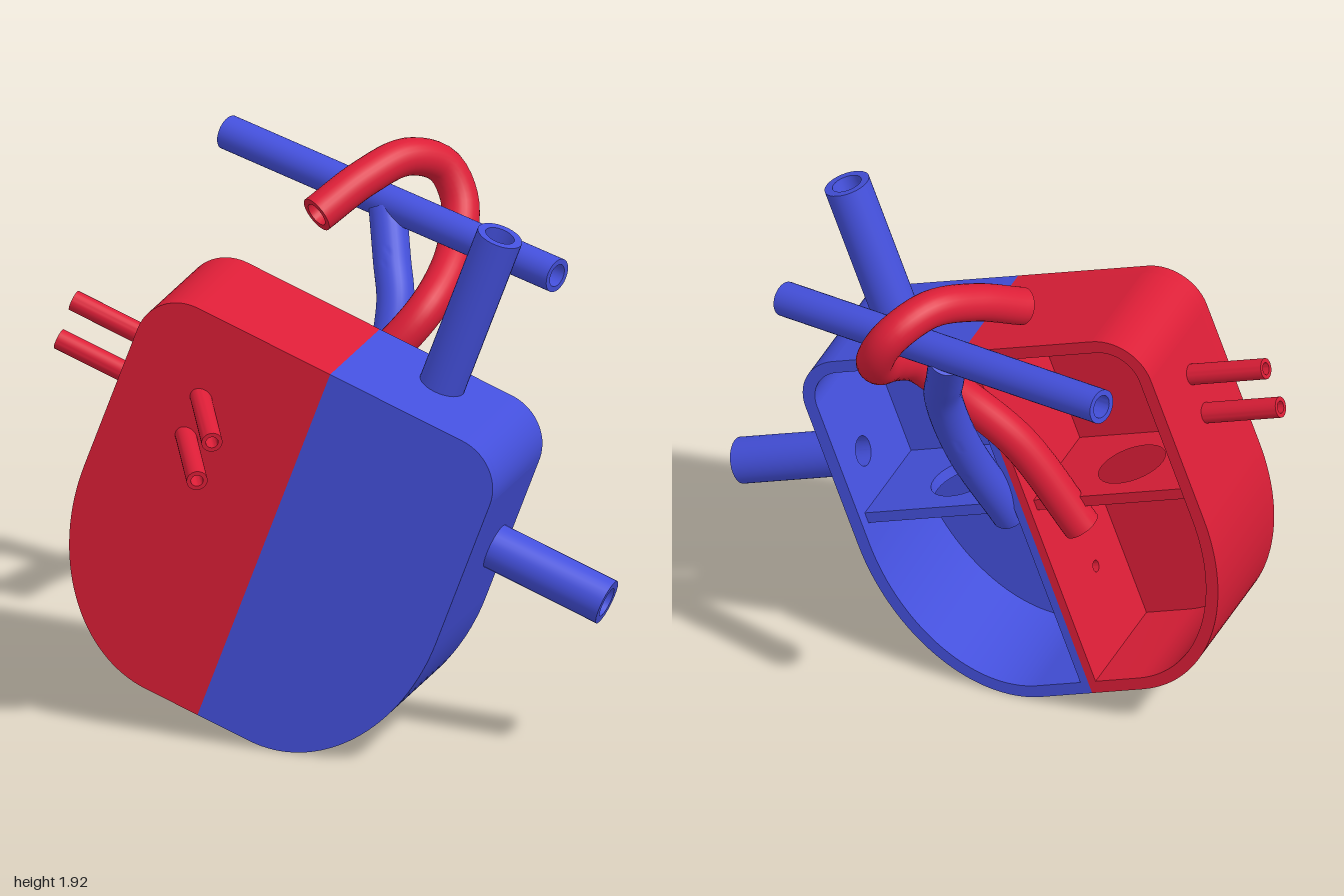
import * as THREE from 'three';
import { toCreasedNormals } from 'three/addons/utils/BufferGeometryUtils.js';

const RED = new THREE.MeshStandardMaterial({ color: 0xdc1e37 });
const BLUE = new THREE.MeshStandardMaterial({ color: 0x4450dc });

// Half-body sizes, in a frame whose v axis is the dividing wall
const W = 0.68, H = 1.376, T = 0.045, R = 0.17;
const LOW_X = 0.2, LOW_Y = 0.65;          // centre of the elliptical lower corner
const BACK = -0.04, FRONT = 0.44, INNER = FRONT - T;

const V2 = (x, y) => new THREE.Vector2(x, y);
const V3 = (p) => new THREE.Vector3(...p);

function add(parent, name, geometry, material) {
  const mesh = new THREE.Mesh(toCreasedNormals(geometry, 0.6), material);
  mesh.name = name;
  parent.add(mesh);
  return mesh;
}

function arc(cx, cy, rx, ry, a0, a1, n = 20) {
  return Array.from({ length: n + 1 }, (_, i) => {
    const a = a0 + (a1 - a0) * i / n;
    return V2(cx + rx * Math.cos(a), cy + ry * Math.sin(a));
  });
}

// Flat plate from an outline, with round holes given as [x, y, radius]
function plate(points, depth, holes = []) {
  const shape = new THREE.Shape(points);
  for (const [x, y, r] of holes) {
    const hole = new THREE.Path();
    hole.absarc(x, y, r, 0, Math.PI * 2, true);
    shape.holes.push(hole);
  }
  return new THREE.ExtrudeGeometry(shape, { depth, bevelEnabled: false, curveSegments: 16 });
}

const rect = (x0, y0, x1, y1) => [V2(x0, y0), V2(x1, y0), V2(x1, y1), V2(x0, y1)];

// Hollow vessel swept along a path
function vessel(parent, name, pts, radius, bore, material, steps = 48) {
  const path = pts.length === 2
    ? new THREE.LineCurve3(V3(pts[0]), V3(pts[1]))
    : new THREE.CatmullRomCurve3(pts.map(V3));
  const shape = new THREE.Shape();
  shape.absarc(0, 0, radius, 0, Math.PI * 2, false);
  const hole = new THREE.Path();
  hole.absarc(0, 0, bore, 0, Math.PI * 2, true);
  shape.holes.push(hole);
  const geometry = new THREE.ExtrudeGeometry(shape, {
    steps: pts.length === 2 ? 1 : steps, extrudePath: path, curveSegments: 14, bevelEnabled: false,
  });
  return add(parent, name, geometry, material);
}

// One half of the open-backed body; s = +1 for the left half, -1 for the right half
function chamber(s, name, material, holes) {
  const g = new THREE.Group();
  g.name = name;
  const flip = (pts) => pts.map((p) => V2(p.x * s, p.y));
  const lower = (t) => arc(LOW_X, LOW_Y, W - LOW_X - t, LOW_Y - t, -Math.PI / 2, 0, 32);
  const upper = (t) => arc(W - R, H - R, R - t, R - t, 0, Math.PI / 2, 14);
  const depth = INNER - BACK;

  // front plate
  const outline = [V2(0, 0), ...lower(0), ...upper(0), V2(0, H)];
  add(g, 'frontPlate', plate(flip(outline), T, holes.front), material).position.z = INNER;

  // curved walls
  const low = [V2(0, 0), ...lower(0), ...lower(T).reverse(), V2(0, T)];
  add(g, 'lowerWall', plate(flip(low), depth), material).position.z = BACK;
  const corner = [...upper(0), ...upper(T).reverse()];
  add(g, 'cornerWall', plate(flip(corner), depth), material).position.z = BACK;

  // straight side wall, drawn in (z, v) and turned sideways
  const side = plate(rect(BACK, LOW_Y, INNER, H - R), T, holes.side).rotateY(-Math.PI / 2);
  add(g, 'sideWall', side, material).position.x = s > 0 ? W : -W + T;

  // straight top wall, drawn in (u, z) and laid flat
  const top = plate(flip(rect(0, BACK, W - R, INNER)), T, holes.top).rotateX(Math.PI / 2);
  add(g, 'topWall', top, material).position.y = H;

  // dividing wall with its small opening
  const septum = plate(rect(BACK, T, INNER, H - T), 0.03, [[0.21, 0.35, 0.02]]).rotateY(-Math.PI / 2);
  add(g, 'dividingWall', septum, material).position.x = s > 0 ? 0.03 : 0;

  // valve shelf between upper and lower chamber
  const shelf = plate(flip(rect(0.03, 0, W - T, INNER)), 0.04, [[0.33 * s, 0.19, 0.12]]).rotateX(Math.PI / 2);
  add(g, 'valveShelf', shelf, material).position.y = 0.75;
  return g;
}

export function createModel() {
  const model = new THREE.Group();
  model.name = 'heartModel';

  const body = new THREE.Group();
  body.name = 'body';
  body.position.set(-0.4, 0.1, 0);
  body.rotation.z = -0.3565;
  model.add(body);

  const veinHeights = [0.92, 1.075];
  body.add(
    chamber(1, 'leftHalf', BLUE, { side: [[0.125, 0.92, 0.052]], top: [[0.305, 0.12, 0.052]], front: [] }),
    chamber(-1, 'rightHalf', RED, {
      side: veinHeights.map((v) => [0.205, v, 0.02]),
      front: veinHeights.map((v) => [-0.4, v, 0.02]),
      top: [],
    }),
  );

  // large straight veins
  vessel(body, 'upperVein', [[0.305, H - T, 0.12], [0.305, 1.975, 0.12]], 0.08, 0.052, BLUE);
  vessel(body, 'sideVein', [[W - T, 0.92, 0.125], [1.113, 0.92, 0.125]], 0.08, 0.052, BLUE);

  // two pairs of small veins
  for (const v of veinHeights) {
    vessel(body, 'smallSideVein', [[-W + T, v, 0.205], [-0.972, v, 0.205]], 0.036, 0.021, RED);
    vessel(body, 'smallFrontVein', [[-0.4, v, 0.415], [-0.24, v, 0.7]], 0.036, 0.021, RED);
  }

  // branching blue artery
  vessel(model, 'arteryBranches', [[-0.7, 1.79, -0.655], [0.645, 1.585, -0.245]], 0.06, 0.04, BLUE);
  vessel(model, 'arteryTrunk', [
    [-0.07, 0.72, 0.02], [0.02, 1.08, -0.16], [0.04, 1.38, -0.295], [0, 1.52, -0.37], [-0.045, 1.67, -0.45],
  ], 0.065, 0.042, BLUE);

  // arched red artery
  vessel(model, 'archedArtery', [
    [-0.34, 0.75, 0.01], [-0.13, 1.07, -0.04], [0.06, 1.26, -0.105], [0.18, 1.41, -0.19], [0.21, 1.5, -0.33],
    [0.2, 1.58, -0.47], [0.17, 1.69, -0.57], [0.11, 1.8, -0.575], [0.02, 1.86, -0.46],
    [-0.08, 1.82, -0.31], [-0.19, 1.73, -0.15],
  ], 0.065, 0.043, RED, 72);

  return model;
}
